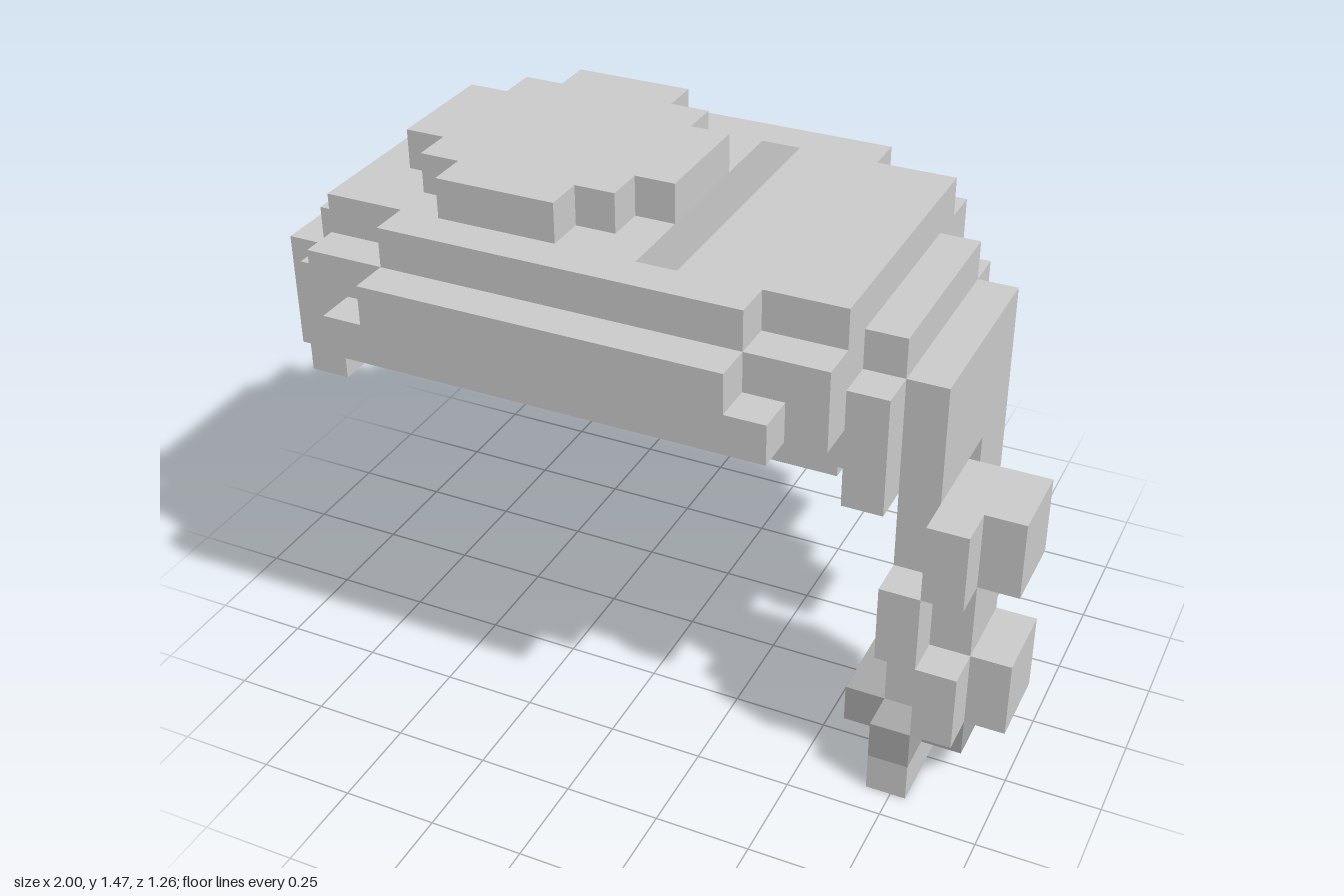
import * as THREE from 'three';

const U = 2 / 19; // edge of one block
const NX = 19, NZ = 12;

// Six block sides: normal plus two in-plane axes with u x v = normal
const SIDES = [
  [[1, 0, 0], [0, 1, 0], [0, 0, 1]], [[-1, 0, 0], [0, 0, 1], [0, 1, 0]],
  [[0, 1, 0], [0, 0, 1], [1, 0, 0]], [[0, -1, 0], [1, 0, 0], [0, 0, 1]],
  [[0, 0, 1], [1, 0, 0], [0, 1, 0]], [[0, 0, -1], [0, 1, 0], [1, 0, 0]],
];

export function createModel() {
  const cells = new Map();
  const key = (x, y, z) => (x * 40 + y) * 40 + z;

  // Fill (or clear, with part = null) a block range; upper bounds are exclusive
  function fill(part, x0, x1, y0, y1, z0, z1) {
    for (let x = x0; x < x1; x++)
      for (let y = y0; y < y1; y++)
        for (let z = z0; z < z1; z++) {
          if (part) cells.set(key(x, y, z), { part, p: [x, y, z] });
          else cells.delete(key(x, y, z));
        }
  }
  // Same range on both sides of the head (its middle is at x = 8.5)
  function fillBoth(part, x0, x1, ...rest) {
    fill(part, x0, x1, ...rest);
    fill(part, 17 - x1, 17 - x0, ...rest);
  }

  // Rounded shell: walls with stepped corners, then two closing layers
  fill('hairShell', 2, 15, 6, 8, 1, 10);
  fill('hairShell', 3, 14, 8, 11, 1, 10);
  fill('hairShell', 2, 15, 8, 11, 2, 10);
  fill('hairShell', 1, 16, 6, 11, 3, 10);
  fill('hairShell', 0, 17, 6, 11, 4, 9);
  fill('hairShell', 4, 13, 11, 12, 1, 12);
  fill('hairShell', 2, 15, 11, 12, 2, 11);
  fill('hairShell', 1, 16, 11, 12, 4, 9);
  fill('hairShell', 4, 13, 12, 13, 2, 11);
  fill('hairShell', 2, 15, 12, 13, 3, 10);

  // Hollow for the head, leaving walls one block thick
  fill(null, 3, 14, 6, 11, 2, 10);
  fill(null, 2, 15, 6, 11, 3, 10);
  fill(null, 1, 16, 6, 11, 4, 9);
  fill(null, 4, 13, 11, 12, 2, 11);
  fill(null, 3, 14, 11, 12, 3, 10);
  fill(null, 2, 15, 11, 12, 4, 9);

  // Side edges rising toward the front
  fill(null, 0, 17, 6, 8, 6, 10);

  // Front fringe with short corner locks
  fill('fringe', 3, 14, 10, 11, 11, 12);
  fillBoth('fringe', 2, 3, 10, 11, 10, 11);
  fillBoth('fringe', 2, 4, 9, 11, 9, 10);

  // Tapering hair at the back, two layers thick
  fill('backHair', 3, 14, 6, 8, 0, 1);
  for (let i = 0; i < 3; i++) {
    fill('backHair', 3 + i, 14 - i, 5 - i, 6 - i, 1, 2);
    fill('backHair', 4 + i, 13 - i, 5 - i, 6 - i, 0, 1);
  }

  // Flat tuft on the crown: [xStart, xEnd, zStart, zEnd]
  for (const [a, b, c, d] of [[5, 8, 3, 10], [4, 9, 4, 9], [3, 10, 5, 8]])
    fill('crownTuft', a, b, 13, 14, c, d);
  fill('partingLine', 10, 11, 12, 13, 3, 10);

  // Long braid hanging on one side
  fill('braid', 16, 19, 6, 8, 7, 9);
  fill('braid', 17, 18, 6, 8, 9, 10);
  fill('braid', 16, 18, 4, 6, 7, 9);
  fill('braid', 16, 17, 4, 6, 9, 10);
  fill('braid', 16, 19, 2, 4, 7, 9);
  fill('braid', 17, 18, 2, 4, 9, 10);
  fill('braid', 16, 17, 0, 1, 7, 10);
  fill('braidTie', 15, 18, 1, 2, 7, 9);
  fill('braidTie', 16, 17, 1, 2, 9, 10);

  // One mesh per part, made of the exposed block sides only
  const faces = {};
  for (const { part, p } of cells.values()) {
    const out = (faces[part] ??= { pos: [], nor: [] });
    for (const [n, u, v] of SIDES) {
      if (cells.has(key(p[0] + n[0], p[1] + n[1], p[2] + n[2]))) continue;
      for (const [s, t] of [[0, 0], [1, 0], [1, 1], [0, 0], [1, 1], [0, 1]]) {
        const c = p.map((q, i) => q + Math.max(n[i], 0) + s * u[i] + t * v[i]);
        out.pos.push((c[0] - NX / 2) * U, c[1] * U, (c[2] - NZ / 2) * U);
        out.nor.push(...n);
      }
    }
  }

  const colors = { partingLine: 0xb4b4b4, braidTie: 0xa8a8a8 };
  const group = new THREE.Group();
  group.name = 'blockHair';
  for (const [name, { pos, nor }] of Object.entries(faces)) {
    const geometry = new THREE.BufferGeometry();
    geometry.setAttribute('position', new THREE.Float32BufferAttribute(pos, 3));
    geometry.setAttribute('normal', new THREE.Float32BufferAttribute(nor, 3));
    const material = new THREE.MeshStandardMaterial({ color: colors[name] ?? 0xcccccc });
    const mesh = new THREE.Mesh(geometry, material);
    mesh.name = name;
    group.add(mesh);
  }
  return group;
}
